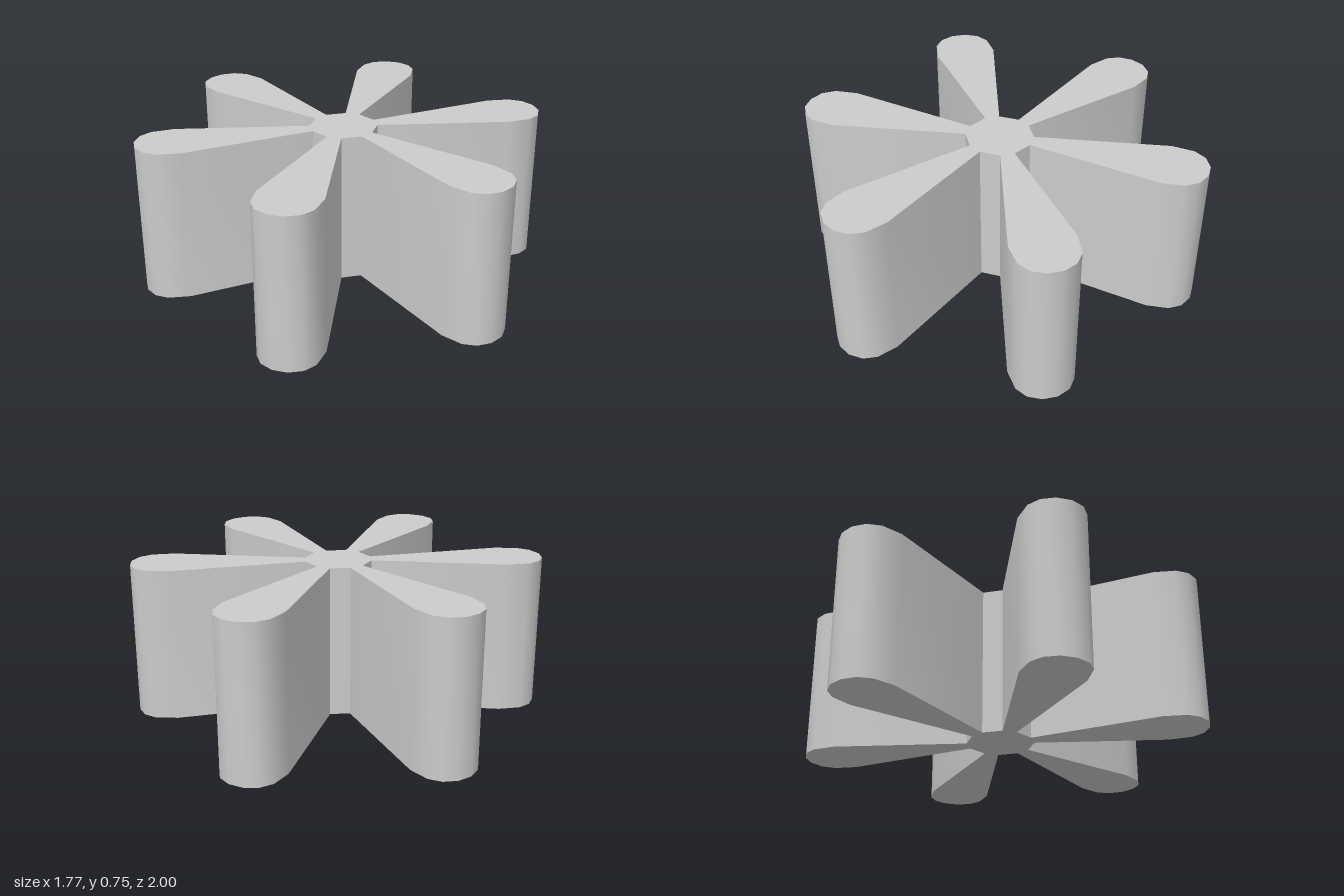
import * as THREE from 'three';
import { toCreasedNormals } from 'three/addons/utils/BufferGeometryUtils.js';

const HEIGHT = 0.755;
const PETALS = 6;

// Half outline of one petal: [distance from centre, half width], hub to tip
const HALF = [[0.16, 0.035], [0.8, 0.151], [0.91, 0.139], [0.967, 0.1], [0.998, 0.036]];

// Full petal outline, mirrored about its axis, running counter-clockwise
const PETAL = [
  ...HALF.map(([r, w]) => [r, -w]),
  ...[...HALF].reverse(),
];

export function createModel() {
  const group = new THREE.Group();
  group.name = 'sixPetalPrism';

  // Petals chained around the hub into one closed outline
  const points = [];
  for (let i = 0; i < PETALS; i++) {
    const angle = Math.PI / 6 + (i * 2 * Math.PI) / PETALS;
    for (const [r, w] of PETAL) {
      points.push(new THREE.Vector2(r, w).rotateAround(new THREE.Vector2(), angle));
    }
  }

  // Upright extrusion with rounded tips and sharp rims
  const extrusion = new THREE.ExtrudeGeometry(new THREE.Shape(points), {
    depth: HEIGHT,
    bevelEnabled: false,
  });
  extrusion.rotateX(-Math.PI / 2);
  const body = new THREE.Mesh(
    toCreasedNormals(extrusion, 0.65),
    new THREE.MeshStandardMaterial({ color: 0xcccccc })
  );
  body.name = 'petalBody';
  group.add(body);

  return group;
}
